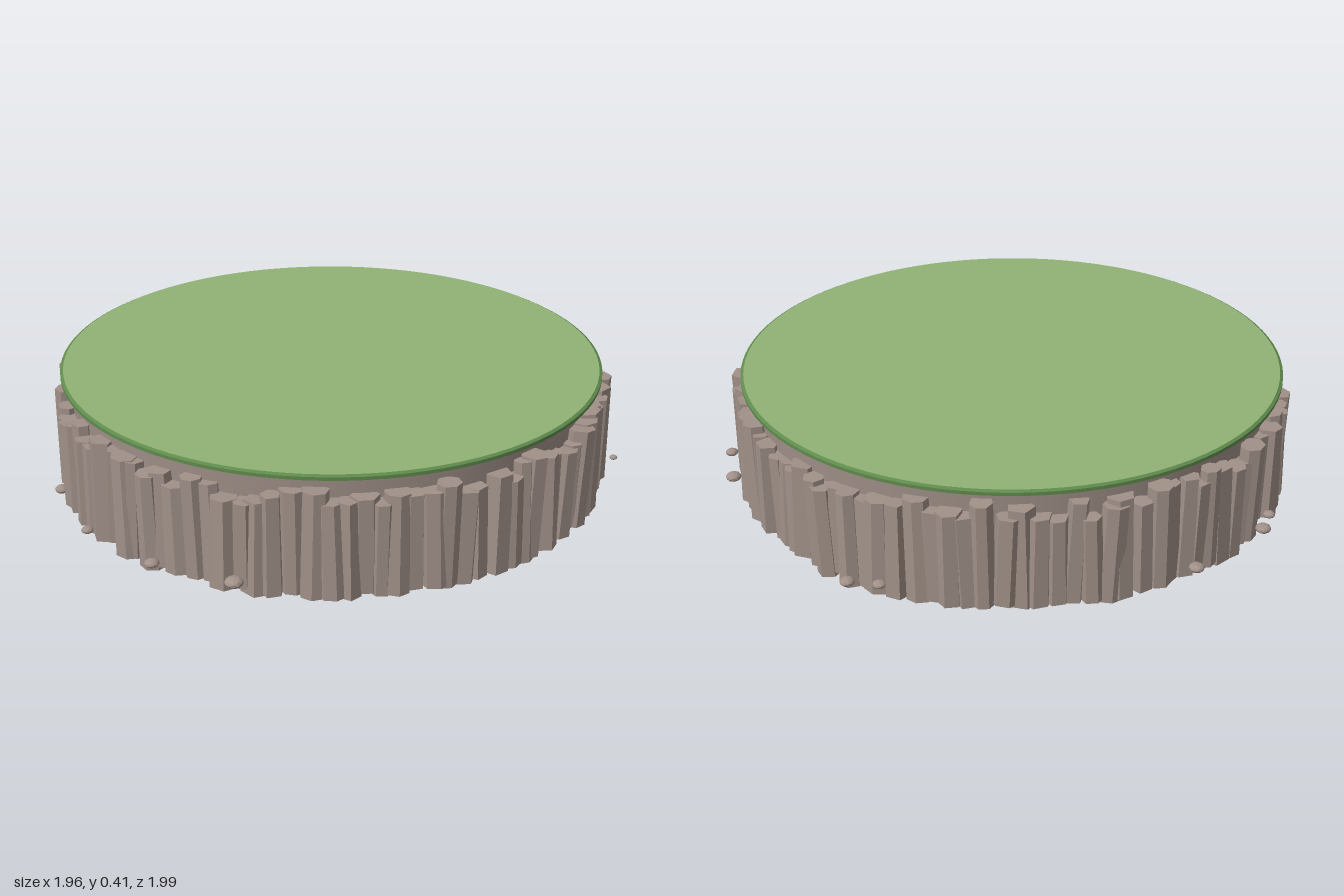
import * as THREE from 'three';
import { mergeGeometries } from 'three/addons/utils/BufferGeometryUtils.js';

// Small seeded generator so the rocks always come out the same
function seeded(seed) {
  let s = seed;
  return (min, max) => {
    s = (s * 16807) % 2147483647;
    return min + (max - min) * (s / 2147483647);
  };
}

function material(name, color) {
  const m = new THREE.MeshStandardMaterial({ color });
  m.name = name;
  return m;
}

// Faceted copy of a geometry
function faceted(geometry) {
  const g = geometry.index ? geometry.toNonIndexed() : geometry;
  g.computeVertexNormals();
  return g;
}

export function createModel() {
  const group = new THREE.Group();
  group.name = 'cliffPlatform';
  const CZ = -0.02; // platform centre in z
  const rock = material('rock', 0xa09088);
  const grass = material('grass', 0x90b275);
  const grassEdge = material('grassEdge', 0x5f8a4c);

  const add = (name, geometry, mat, y = 0) => {
    const mesh = new THREE.Mesh(geometry, mat);
    mesh.name = name;
    mesh.position.set(0, y, CZ);
    group.add(mesh);
    return mesh;
  };

  // Solid core behind the columns
  add('core', new THREE.CylinderGeometry(0.905, 0.885, 0.375, 96), rock, 0.2075);

  // Grass slab: dark lip with a softly bevelled edge, lighter top
  const lip = [[0, 0.393], [0.915, 0.393], [0.93, 0.398], [0.93, 0.409], [0.92, 0.414]]
    .map(([r, y]) => new THREE.Vector2(r, y));
  add('grassLip', faceted(new THREE.LatheGeometry(lip, 96)), grassEdge);
  const top = add('grassTop', new THREE.CircleGeometry(0.92, 96), grass, 0.414);
  top.rotation.x = -Math.PI / 2;

  // Ring of uneven, slightly leaning rock columns
  const rand = seeded(4217);
  const columns = [];
  const COUNT = 108;
  for (let i = 0; i < COUNT; i++) {
    const angle = ((i + rand(-0.3, 0.3)) / COUNT) * Math.PI * 2;
    const radius = rand(0.036, 0.05);
    const bottom = rand(0.006, 0.024);
    const height = rand(0.31, 0.372) - bottom;
    const sides = 5 + Math.floor(rand(0, 2.99));
    const g = faceted(new THREE.CylinderGeometry(radius * rand(0.85, 1), radius, height, sides));
    g.rotateY(rand(0, Math.PI));
    g.scale(rand(0.9, 1.1), 1, rand(0.8, 1.1));
    g.rotateX(rand(-0.03, 0.03));
    g.rotateZ(rand(-0.05, 0.05));
    const ring = rand(0.905, 0.932);
    g.rotateY(angle);
    g.translate(Math.sin(angle) * ring, bottom + height / 2, Math.cos(angle) * ring);
    columns.push(g);
  }
  add('rockColumns', mergeGeometries(columns), rock);

  // Loose flattened pebbles around the base: x, z, radius
  const pebbles = [
    [0.26, -0.97, 0.027], [0.43, -0.92, 0.022], [0.66, -0.77, 0.014],
    [-0.52, -0.87, 0.024], [-0.58, -0.79, 0.022], [-0.965, 0.11, 0.025],
    [-0.88, 0.43, 0.026], [-0.82, 0.5, 0.02], [-0.26, 0.91, 0.024],
    [0.04, 0.97, 0.02], [0.34, 0.905, 0.024], [0.58, 0.76, 0.03],
  ];
  for (const [x, z, r] of pebbles) {
    const g = faceted(new THREE.IcosahedronGeometry(r, 1));
    g.scale(1, 0.58, 1);
    const mesh = add('pebble', g, rock);
    mesh.position.set(x, 0.056, z);
    mesh.rotation.y = rand(0, 6);
  }

  return group;
}
